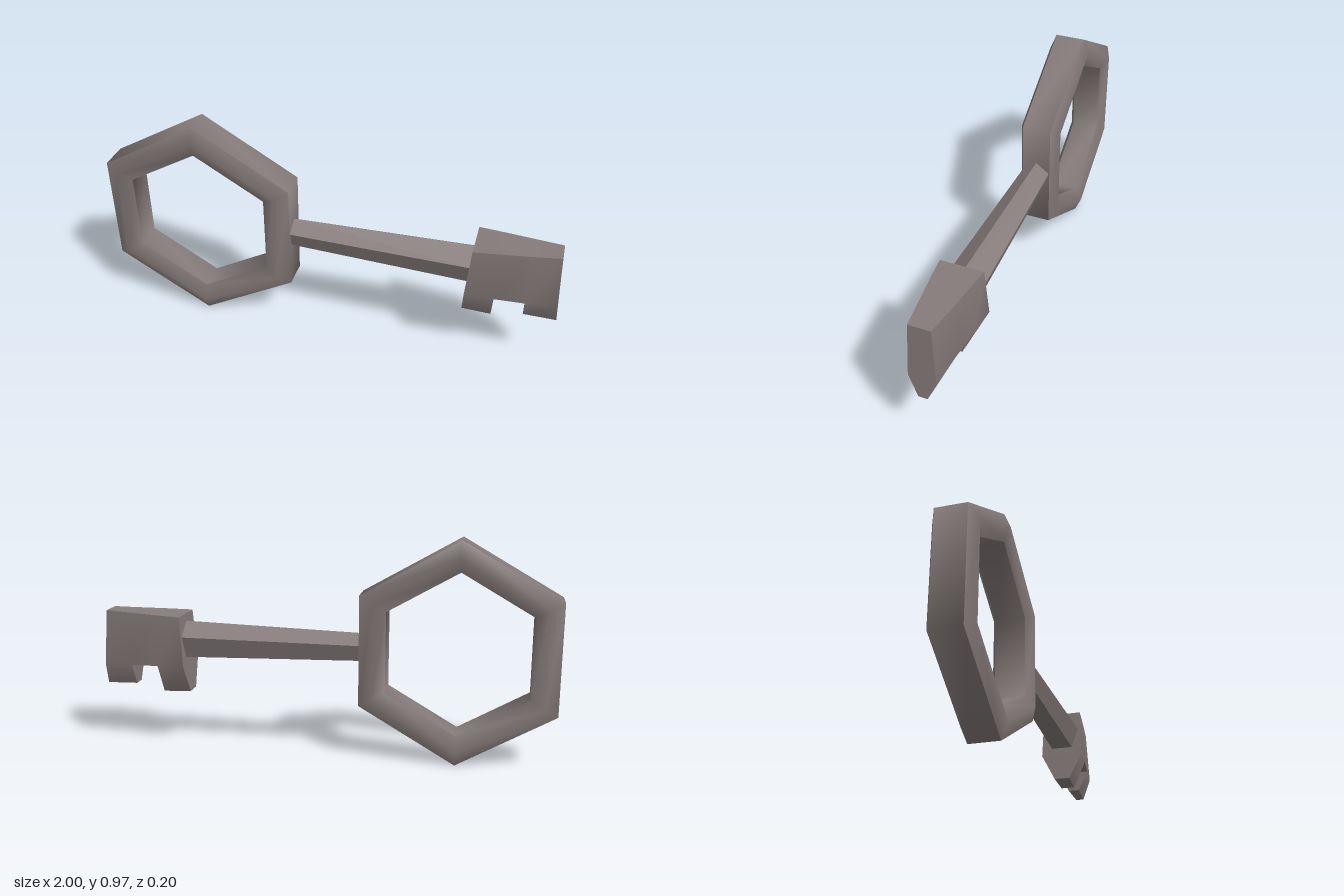
import * as THREE from 'three';
import { toCreasedNormals } from 'three/addons/utils/BufferGeometryUtils.js';

const metal = new THREE.MeshStandardMaterial({ color: 0x857b7a });
metal.name = 'warm grey metal';

function part(name, geometry, crease) {
  const mesh = new THREE.Mesh(toCreasedNormals(geometry, THREE.MathUtils.degToRad(crease)), metal);
  mesh.name = name;
  return mesh;
}

// Hexagonal ring handle with a six-sided, bevelled cross-section
function makeRing() {
  const profile = [
    [0.483, -0.063], [0.483, 0.063], [0.417, 0.09],
    [0.351, 0.063], [0.351, -0.063], [0.417, -0.09], [0.483, -0.063],
  ].map(([r, z]) => new THREE.Vector2(r, z));
  const ring = new THREE.LatheGeometry(profile, 6);
  ring.rotateX(Math.PI / 2);
  ring.translate(-0.582, 0.483, 0);
  return part('ringHandle', ring, 62);
}

// Five-sided shaft, ridge upward, widening toward the bit
function makeShaft() {
  const start = -0.17, end = 0.635;
  const shaft = new THREE.CylinderGeometry(0.085, 0.063, end - start, 5, 1, false, -Math.PI / 2);
  shaft.rotateZ(-Math.PI / 2);
  shaft.translate((start + end) / 2, 0.487, 0);
  return part('shaft', shaft, 30);
}

// Tapered bit with two teeth: rows of [x, y, half depth] across four columns
function makeBit() {
  const rows = {
    t: [[0.623, 0.604, 0.091], [0.742, 0.608, 0.077], [0.858, 0.611, 0.062], [0.976, 0.615, 0.046]],
    m: [[0.608, 0.384, 0.1], [0.732, 0.38, 0.087], [0.858, 0.374, 0.072], [0.991, 0.37, 0.057]],
    b: [[0.6, 0.257, 0.036], [0.725, 0.25, 0.032], [0.858, 0.278, 0.026], [0.998, 0.272, 0.019]],
  };
  const positions = [];
  const point = (key, side) => {
    const [x, y, z] = rows[key[1]][key[0]];
    return [x, y, z * side];
  };
  const quad = (a, b, c, d) => positions.push(...a, ...b, ...c, ...a, ...c, ...d);

  // Front and back faces
  const panels = [
    ['0m', '1m', '1t', '0t'], ['1m', '2m', '2t', '1t'], ['2m', '3m', '3t', '2t'],
    ['0b', '1b', '1m', '0m'], ['2b', '3b', '3m', '2m'],
  ];
  for (const panel of panels) {
    quad(...panel.map((k) => point(k, 1)));
    quad(...[...panel].reverse().map((k) => point(k, -1)));
  }

  // Walls around the outline, including the notch
  const outline = ['0b', '1b', '1m', '2m', '2b', '3b', '3m', '3t', '2t', '1t', '0t', '0m'];
  outline.forEach((a, i) => {
    const b = outline[(i + 1) % outline.length];
    quad(point(a, 1), point(a, -1), point(b, -1), point(b, 1));
  });

  const bit = new THREE.BufferGeometry();
  bit.setAttribute('position', new THREE.Float32BufferAttribute(positions, 3));
  return part('toothedBit', bit, 45);
}

export function createModel() {
  const key = new THREE.Group();
  key.name = 'key';
  key.add(makeRing(), makeShaft(), makeBit());
  return key;
}
